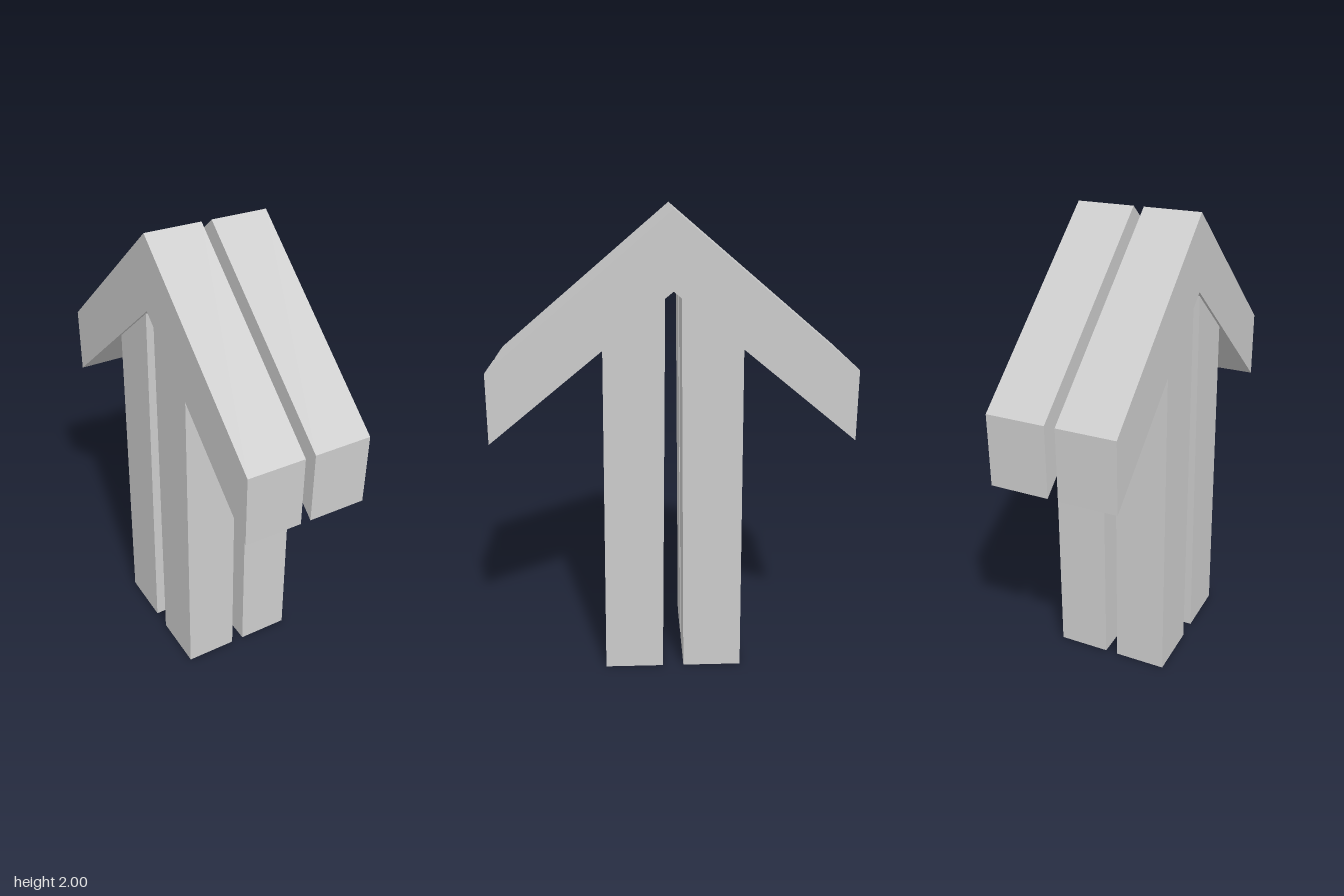
import * as THREE from 'three';

const material = new THREE.MeshStandardMaterial({ color: 0xcccccc, flatShading: true });

// Beam with a side profile of [z, y] points, spanning x0 to x1
function beam(name, profile, x0, x1) {
  const shape = new THREE.Shape(profile.map(([z, y]) => new THREE.Vector2(z, y)));
  const geometry = new THREE.ExtrudeGeometry(shape, { depth: x1 - x0, bevelEnabled: false });
  geometry.rotateY(-Math.PI / 2).translate(x1, 0, 0);
  const mesh = new THREE.Mesh(geometry, material);
  mesh.name = name;
  return mesh;
}

export function createModel() {
  const group = new THREE.Group();
  group.name = 'gabledPostFrame';

  // Chevron roof beam, with plumb-cut ends
  const roof = [[-0.76, 1.06], [0, 1.683], [0.76, 1.06], [0.76, 1.36], [0, 2], [-0.76, 1.36]];
  // Post leaning slightly inwards, its top cut to the roof slope
  const post = [[0.046, 0], [0.301, 0], [0.286, 1.449], [0.033, 1.656]];
  const backPost = post.map(([z, y]) => [-z, y]).reverse();

  const sides = [
    { side: 'left', roofX: [0.02, 0.267], postX: [0.026, 0.255] },
    { side: 'right', roofX: [-0.27, -0.024], postX: [-0.259, -0.031] },
  ];
  for (const { side, roofX, postX } of sides) {
    group.add(
      beam(`${side}RoofBeam`, roof, ...roofX),
      beam(`${side}FrontPost`, post, ...postX),
      beam(`${side}BackPost`, backPost, ...postX),
    );
  }
  return group;
}
